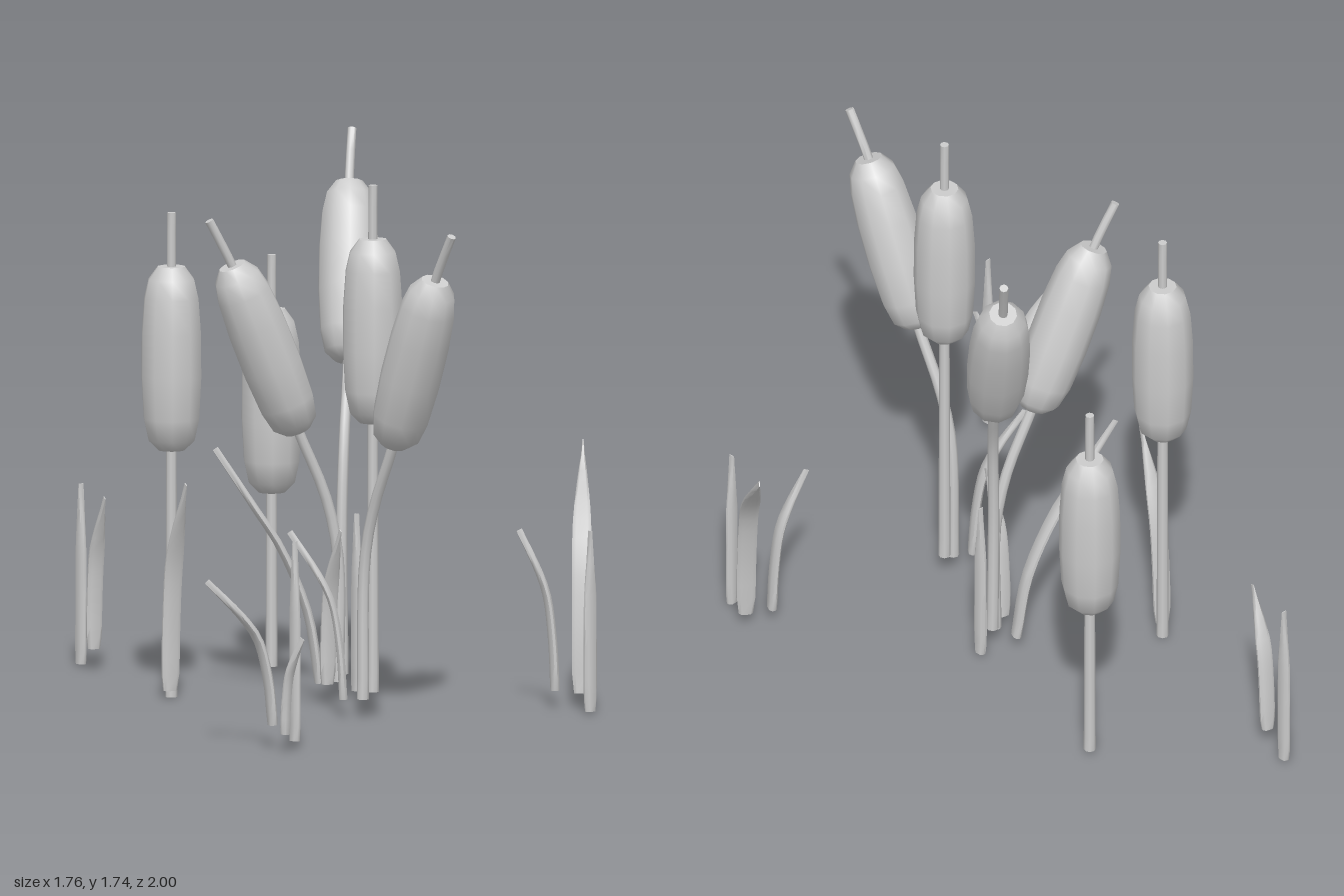
import * as THREE from 'three';
import { toCreasedNormals } from 'three/addons/utils/BufferGeometryUtils.js';

const material = new THREE.MeshStandardMaterial({ color: 0xcccccc });
const V = (p) => new THREE.Vector3(...p);

// Closed sweep along points; size(u) gives [half width, half thickness],
// side is the direction in which the width lies.
function sweep(points, side, outline, size, steps) {
  const curve = new THREE.CatmullRomCurve3(points.map(V), false, 'centripetal');
  const n = outline.length, pos = [], index = [];
  for (let i = 0; i <= steps; i++) {
    const u = i / steps, [w, d] = size(u);
    const c = curve.getPointAt(u), t = curve.getTangentAt(u);
    const s = side.clone().addScaledVector(t, -side.dot(t)).normalize();
    const b = new THREE.Vector3().crossVectors(t, s);
    for (const [a, e] of outline) {
      const p = c.clone().addScaledVector(s, a * w).addScaledVector(b, e * d);
      pos.push(p.x, p.y, p.z);
    }
  }
  for (let i = 0; i < steps; i++) {
    for (let j = 0; j < n; j++) {
      const a = i * n + j, b = i * n + (j + 1) % n;
      index.push(a, b, b + n, a, b + n, a + n);
    }
  }
  const last = steps * n;
  for (let j = 1; j < n - 1; j++) {
    index.push(0, j + 1, j, last, last + j, last + j + 1);
  }
  const g = new THREE.BufferGeometry();
  g.setAttribute('position', new THREE.Float32BufferAttribute(pos, 3));
  g.setIndex(index);
  return toCreasedNormals(g, 0.9);
}

const roundOutline = Array.from({ length: 8 }, (_, i) => {
  const a = (i / 8) * Math.PI * 2;
  return [Math.cos(a), Math.sin(a)];
});
const bladeOutline = [[1, 0.35], [0.6, 1], [-0.6, 1], [-1, 0.35], [-1, -0.35], [-0.6, -1], [0.6, -1], [1, -0.35]];

// Seed head: profile as radius and height along its axis
const headProfile = [[0, -0.29], [0.042, -0.29], [0.075, -0.258], [0.09, -0.19], [0.097, -0.06],
  [0.096, 0.08], [0.088, 0.19], [0.074, 0.25], [0.044, 0.29], [0, 0.29]].map((p) => new THREE.Vector2(...p));
const headGeometry = toCreasedNormals(new THREE.LatheGeometry(headProfile, 10), 0.8);

function cattail({ stem, bottom, top, tip }) {
  const group = new THREE.Group();
  group.name = 'cattail';
  const stalk = new THREE.Mesh(
    sweep([...stem, bottom, top, tip], new THREE.Vector3(1, 0, 0), roundOutline,
      (u) => [0.019 - 0.005 * u, 0.019 - 0.005 * u], 24), material);
  stalk.name = 'stalk';
  const head = new THREE.Mesh(headGeometry, material);
  head.name = 'seedHead';
  const a = V(bottom), b = V(top);
  head.position.copy(a).add(b).multiplyScalar(0.5);
  head.quaternion.setFromUnitVectors(new THREE.Vector3(0, 1, 0), b.sub(a).normalize());
  group.add(stalk, head);
  return group;
}

// Blade narrows a little at the foot and runs to a point
function blade(points, side, halfWidth) {
  const size = (u) => {
    const foot = Math.min(1, 0.75 + u * 3);
    const point = u > 0.6 ? Math.max(0.06, 1 - ((u - 0.6) / 0.4) ** 1.4) : 1;
    return [halfWidth * foot * point, 0.0125 - 0.003 * u];
  };
  const mesh = new THREE.Mesh(sweep(points, side, bladeOutline, size, 14), material);
  mesh.name = 'leaf';
  return mesh;
}

// Leaf that rises, then arches over towards its tip
function archedLeaf(base, tip, halfWidth, reach = 0.22) {
  const at = (h, v) => [base[0] + (tip[0] - base[0]) * h, base[1] + (tip[1] - base[1]) * v,
    base[2] + (tip[2] - base[2]) * h];
  const side = new THREE.Vector3(tip[2] - base[2], 0, base[0] - tip[0]).normalize();
  return blade([base, at(reach * 0.3, 0.3), at(reach, 0.58), at(reach + 0.22, 0.73), tip], side, halfWidth);
}

export function createModel() {
  const model = new THREE.Group();
  model.name = 'cattailReeds';

  // Upright cattails: x, z, foot, head bottom
  for (const [x, z, y0, y1] of [[-0.195, -0.255, 0.005, 0.785], [0.41, -0.51, 0.02, 0.57], [0.04, 0.46, 0.08, 0.93]]) {
    model.add(cattail({ stem: [[x, y0, z]], bottom: [x, y1, z], top: [x, y1 + 0.58, z], tip: [x, y1 + 0.75, z] }));
  }

  // Leaning cattails
  model.add(
    cattail({
      stem: [[0, 0.06, 0.46], [0, 0.5, 0.47], [0, 0.67, 0.515]],
      bottom: [0, 0.885, 0.615], top: [0, 1.415, 0.82], tip: [0, 1.57, 0.905],
    }),
    cattail({
      stem: [[0.215, 0.08, 0.09], [0.215, 0.55, 0.085], [0.245, 0.82, 0.06]],
      bottom: [0.32, 1.05, -0.015], top: [0.465, 1.58, -0.19], tip: [0.52, 1.74, -0.245],
    }),
    cattail({
      stem: [[0.185, 0.06, 0.105], [0.185, 0.45, 0.105], [0.145, 0.64, 0.095]],
      bottom: [0.05, 0.865, 0.07], top: [-0.165, 1.39, 0.015], tip: [-0.24, 1.54, -0.01],
    }),
  );

  // Upright leaves: x, z, bottom, top, width along x or z
  for (const [x, z, y0, y1, along] of [
    [0.02, -0.977, 0.01, 0.58, 'z'], [0.275, 0.085, 0.02, 0.58, 'z'],
    [0.605, 0.842, 0.01, 0.58, 'x'], [-0.612, 0.885, 0.03, 0.66, 'z'],
  ]) {
    const side = new THREE.Vector3(along === 'x' ? 1 : 0, 0, along === 'z' ? 1 : 0);
    model.add(blade([[x, y0, z], [x, (y0 + y1) / 2, z], [x, y1, z]], side, 0.023));
  }

  // Arched leaves: foot, tip, half width, bend
  for (const leaf of [
    [[0.0, 0.07, -0.888], [-0.035, 0.56, -0.79], 0.025],
    [[-0.22, 0.03, -0.23], [-0.265, 0.7, -0.095], 0.029],
    [[0.165, 0.05, 0.035], [-0.135, 0.8, -0.11], 0.027, 0.38],
    [[0.122, 0.06, 0.13], [0.09, 0.56, 0.235], 0.025],
    [[-0.05, 0.06, 0.425], [-0.185, 0.59, 0.325], 0.025],
    [[0.655, 0.05, 0.735], [0.87, 0.8, 0.475], 0.03],
    [[0.592, 0.06, 0.682], [0.49, 0.57, 0.63], 0.025],
    [[-0.665, 0.08, 0.84], [-0.88, 0.545, 0.78], 0.025],
    [[-0.678, 0.06, 0.918], [-0.67, 0.37, 0.995], 0.017],
  ]) model.add(archedLeaf(...leaf));

  return model;
}
